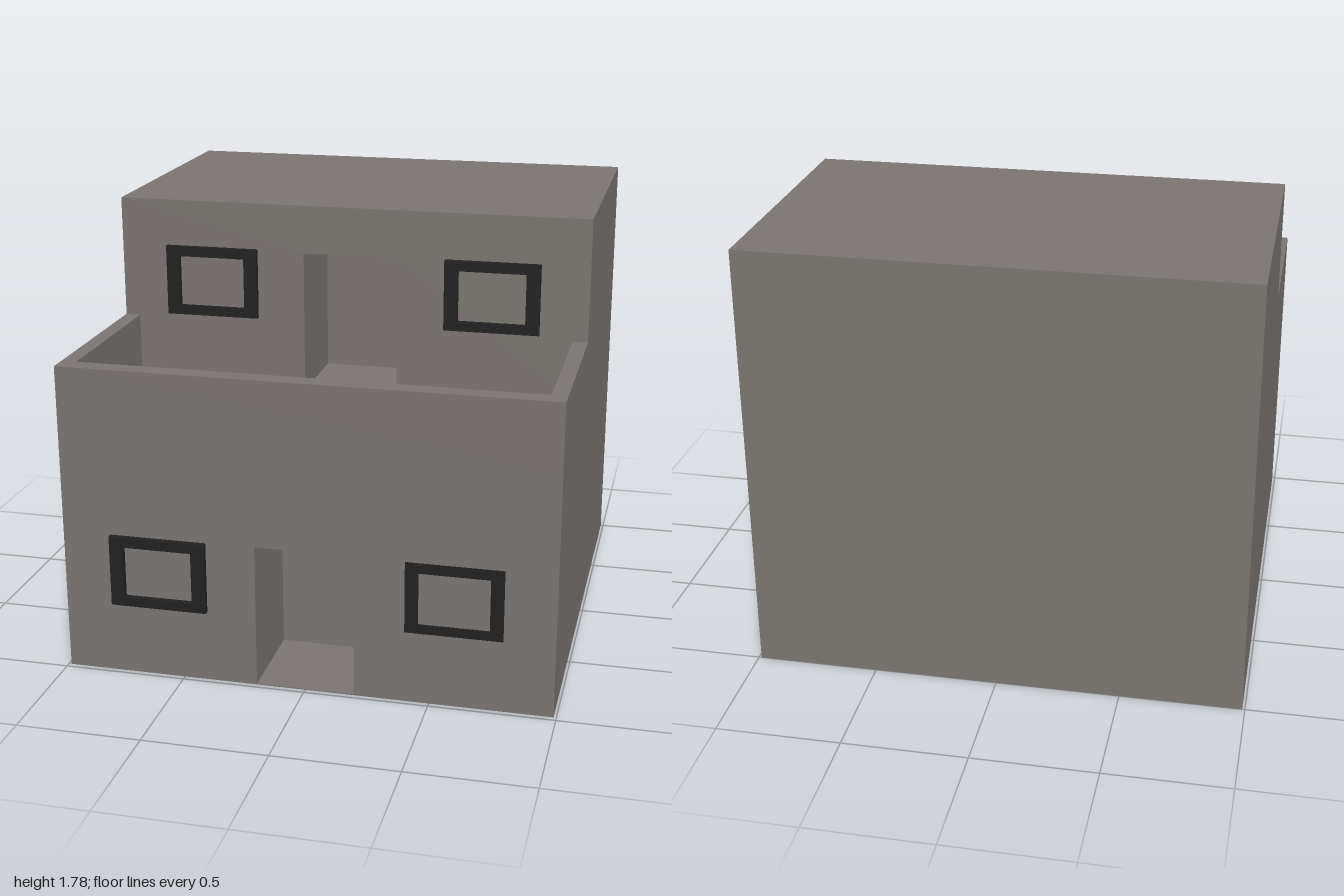
import * as THREE from 'three';

const HALF = 0.989;            // half width of the house
const BACK = -1, FRONT = 0.978; // outer wall planes
const SETBACK = 0.187;         // front of the upper storey
const TERRACE = 0.989, PARAPET = 1.276, ROOF = 1.783;
const DOOR = { half: 0.198, height: 0.594, depth: 0.4 };

function polygon(points) {
  return new THREE.Shape(points.map(([x, y]) => new THREE.Vector2(x, y)));
}

export function createModel() {
  const house = new THREE.Group();
  house.name = 'house';
  const wall = new THREE.MeshStandardMaterial({ color: 0x7b7672 });
  wall.name = 'warm grey wall';
  const dark = new THREE.MeshStandardMaterial({ color: 0x222222 });
  dark.name = 'dark window frame';

  function add(name, geometry, material) {
    const mesh = new THREE.Mesh(geometry, material);
    mesh.name = name;
    house.add(mesh);
    return mesh;
  }

  // A storey: solid rear block plus a front slab with a doorway notch
  function storey(name, y0, y1, front) {
    const split = front - DOOR.depth, h = y1 - y0;
    const rear = new THREE.BoxGeometry(2 * HALF, h, split - BACK);
    rear.translate(0, (y0 + y1) / 2, (split + BACK) / 2);
    add(name + 'Rear', rear, wall);
    const slab = new THREE.ExtrudeGeometry(polygon([
      [-HALF, 0], [-DOOR.half, 0], [-DOOR.half, DOOR.height], [DOOR.half, DOOR.height],
      [DOOR.half, 0], [HALF, 0], [HALF, h], [-HALF, h],
    ]), { depth: DOOR.depth, bevelEnabled: false });
    slab.translate(0, y0, split);
    add(name + 'FrontWithDoorway', slab, wall);
  }
  storey('lowerStorey', 0, TERRACE, FRONT);
  storey('upperStorey', TERRACE, ROOF, SETBACK);

  // Floor of the lower doorway
  const floor = new THREE.BoxGeometry(2 * DOOR.half, 0.004, DOOR.depth);
  floor.translate(0, 0.002, FRONT - DOOR.depth / 2);
  add('doorwayFloor', floor, wall);

  // U-shaped parapet around the terrace, drawn in plan and laid flat
  const side = HALF - 0.062, inner = FRONT - 0.077;
  const parapet = new THREE.ExtrudeGeometry(polygon([
    [-HALF, -SETBACK], [-HALF, -FRONT], [HALF, -FRONT], [HALF, -SETBACK],
    [side, -SETBACK], [side, -inner], [-side, -inner], [-side, -SETBACK],
  ]), { depth: PARAPET - TERRACE, bevelEnabled: false });
  parapet.rotateX(-Math.PI / 2);
  parapet.translate(0, TERRACE, 0);
  add('terraceParapet', parapet, wall);

  // Window frames around bare wall panes
  function windowFrame(name, x, y, z, depth, width = 0.394) {
    const w = width / 2, h = 0.147;
    const shape = polygon([[-w, -h], [w, -h], [w, h], [-w, h]]);
    shape.holes.push(polygon([[-0.14, -0.108], [-0.14, 0.105], [0.14, 0.105], [0.14, -0.108]]));
    const frame = new THREE.ExtrudeGeometry(shape, { depth, bevelEnabled: false });
    add(name, frame, dark).position.set(x, y, z);
  }
  windowFrame('lowerRightWindow', -0.594, 0.445, FRONT, 0.022);
  windowFrame('lowerLeftWindow', 0.594, 0.445, FRONT, 0.004, 0.386);
  windowFrame('upperRightWindow', -0.594, 1.443, SETBACK, 0.021);
  windowFrame('upperLeftWindow', 0.594, 1.443, SETBACK, 0.021);

  return house;
}
